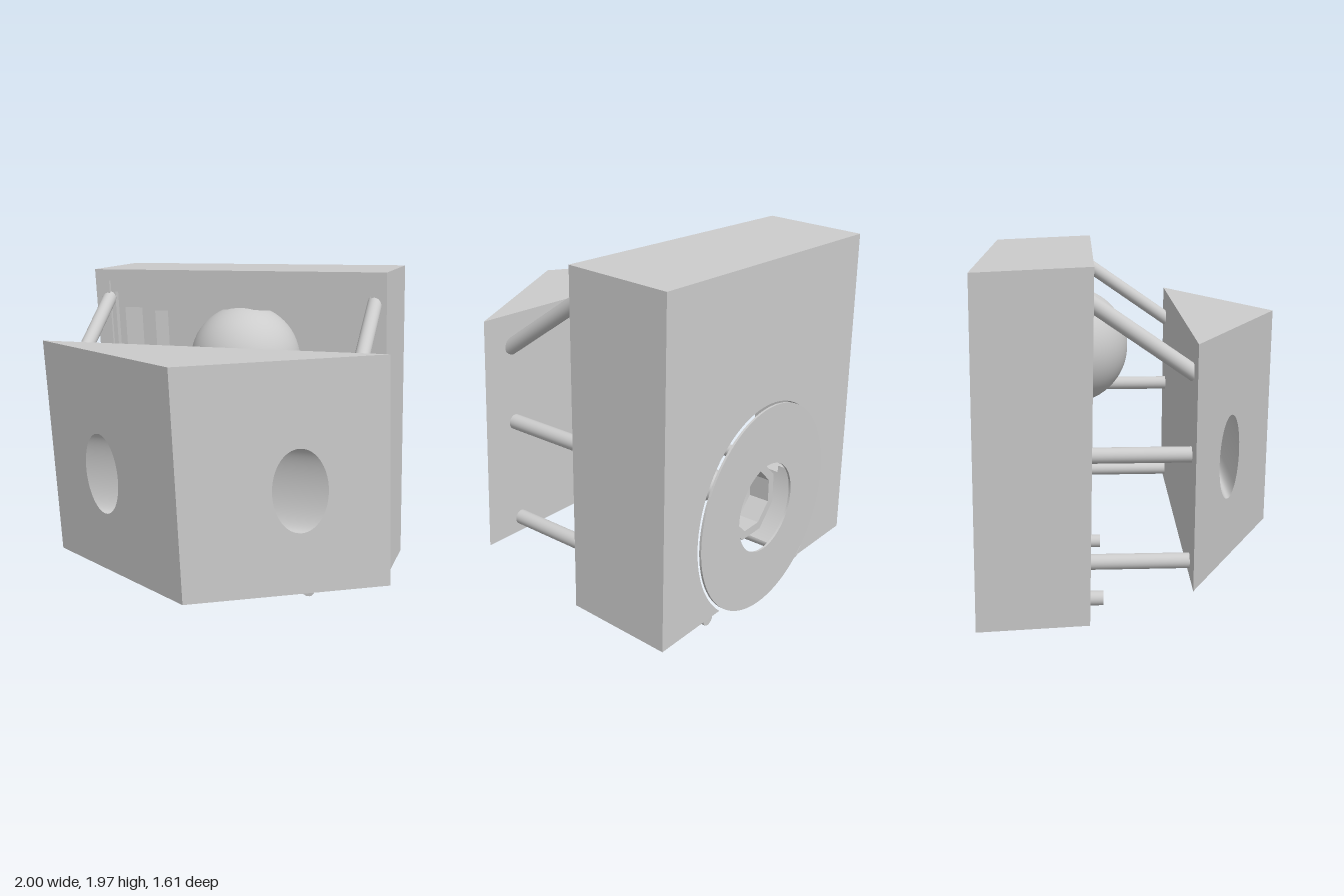
import * as THREE from 'three';

const grey = new THREE.MeshStandardMaterial({ color: 0xcccccc, side: THREE.DoubleSide });

// Slightly skewed frames: columns are the local axes, then the origin
const skew = (ex, ey, ez, o) => new THREE.Matrix4().makeBasis(
  new THREE.Vector3(...ex), new THREE.Vector3(...ey), new THREE.Vector3(...ez)).setPosition(...o);
const BOX = skew([1, 0.029, 0], [-0.033, 1, 0.019], [0, 0.043, 1], [-0.01, 1.05, -0.21]);
const WEDGE = skew([1, 0.028, 0], [-0.048, 1, 0], [0, 0, 1], [0, 0.99, 0]);

export function createModel() {
  const model = new THREE.Group();

  function add(name, geometry, matrix) {
    if (matrix) {
      geometry.applyMatrix4(matrix);
      geometry.computeVertexNormals();
    }
    const mesh = new THREE.Mesh(geometry, grey);
    mesh.name = name;
    model.add(mesh);
    return mesh;
  }

  function rod(name, a, b, r = 0.04) {
    const from = new THREE.Vector3(...a), to = new THREE.Vector3(...b);
    const dir = to.clone().sub(from);
    const mesh = add(name, new THREE.CylinderGeometry(r, r, dir.length(), 24));
    mesh.position.copy(from).add(to).multiplyScalar(0.5);
    mesh.quaternion.setFromUnitVectors(new THREE.Vector3(0, 1, 0), dir.normalize());
  }

  // Housing: stacked layers, each open in the middle and notched by a circle below
  const W = 0.86, H = 0.9, CY = -0.45, R = 0.59;
  const arcX = y => Math.sqrt(R * R - (y - CY) ** 2);
  const angle = (sx, y) => Math.atan2(y - CY, sx * arcX(y));
  function layer(name, z0, z1, opening) {
    const s = new THREE.Shape();
    s.moveTo(W, -H);
    s.lineTo(W, H);
    s.lineTo(-W, H);
    s.lineTo(-W, -H);
    s.lineTo(-arcX(-H), -H);
    if (opening) {
      const [hw, top, bottom] = opening;
      s.absarc(0, CY, R, angle(-1, -H), angle(-1, bottom), true);
      s.lineTo(-hw, bottom);
      s.lineTo(-hw, top);
      s.lineTo(hw, top);
      s.lineTo(hw, bottom);
      s.lineTo(arcX(bottom), bottom);
      s.absarc(0, CY, R, angle(1, bottom), angle(1, -H), true);
    } else {
      s.absarc(0, CY, R, angle(-1, -H), angle(1, -H), true);
    }
    const g = new THREE.ExtrudeGeometry(s, { depth: z0 - z1, bevelEnabled: false, curveSegments: 48 });
    add(name, g.translate(0, 0, z1), BOX);
  }
  layer('housingRim', 0, -0.02, [0.775, 0.835, -0.62]);
  layer('housingStep', -0.02, -0.06, [0.75, 0.77, -0.58]);
  layer('housingOpening', -0.06, -0.3, [0.71, 0.675, -0.54]);
  layer('housingInnerFrame', -0.3, -0.5, [0.625, 0.63, -0.5]);
  layer('housingBack', -0.5, -0.575, null);

  // Flat ring covering the notch at the back
  const ring = new THREE.Shape().absarc(0, 0, 0.58, 0, Math.PI * 2);
  ring.holes.push(new THREE.Path().absarc(0, 0, 0.25, 0, Math.PI * 2, true));
  add('backRing', new THREE.ExtrudeGeometry(ring, { depth: 0.012, bevelEnabled: false, curveSegments: 64 }))
    .position.set(0, 0.58, -0.805);

  // Eight-sided collar and small ball behind the ring
  const polygon = (target, r) => target.setFromPoints(Array.from({ length: 8 }, (_, i) => {
    const a = (i + 0.5) * Math.PI / 4;
    return new THREE.Vector2(r * Math.cos(a), r * Math.sin(a));
  }));
  const collar = polygon(new THREE.Shape(), 0.22);
  collar.holes.push(polygon(new THREE.Path(), 0.17));
  add('collar', new THREE.ExtrudeGeometry(collar, { depth: 0.12, bevelEnabled: false }))
    .position.set(0, 0.59, -0.72);
  add('smallBall', new THREE.SphereGeometry(0.1, 32, 20)).position.set(0, 0.6, -0.4);

  // Large ball in the housing
  add('ball', new THREE.SphereGeometry(0.32, 48, 32)).position.set(-0.01, 1.42, -0.32);

  // Wedge in front: two slanted faces with an oval tunnel running across
  const hw = 0.97, hh = 0.618, zBack = 0.28, zRidge = 0.805, slope = (zRidge - zBack) / hw;
  const hole = { y: -0.057, z: 0.504, ry: 0.225, rz: 0.07 };
  for (const side of [-1, 1]) {
    const x0 = Math.min(0, side * hw), x1 = Math.max(0, side * hw);
    const face = new THREE.Shape([[x0, -hh], [x1, -hh], [x1, hh], [x0, hh]].map(p => new THREE.Vector2(...p)));
    face.holes.push(new THREE.Path().absellipse(
      side * (zRidge - hole.z) / slope, hole.y, hole.rz / slope, hole.ry, 0, Math.PI * 2, true));
    const g = new THREE.ShapeGeometry(face, 32);
    const p = g.attributes.position;
    for (let i = 0; i < p.count; i++) p.setZ(i, zRidge - Math.abs(p.getX(i)) * slope);
    add(side < 0 ? 'wedgeRightFace' : 'wedgeLeftFace', g, WEDGE);
  }

  const tunnel = new THREE.CylinderGeometry(1, 1, 2, 64, 1, true);
  const tp = tunnel.attributes.position;
  for (let i = 0; i < tp.count; i++) {
    const z = hole.z + hole.rz * tp.getZ(i);
    tp.setXYZ(i, tp.getY(i) * (zRidge - z) / slope, hole.y + hole.ry * tp.getX(i), z);
  }
  add('wedgeTunnel', tunnel, WEDGE);

  const corner = (x, y) => [x * hw, y * hh, x ? zBack : zRidge];
  const shell = new THREE.BufferGeometry();
  shell.setAttribute('position', new THREE.Float32BufferAttribute([
    corner(1, -1), corner(-1, -1), corner(-1, 1), corner(1, -1), corner(-1, 1), corner(1, 1),
    corner(-1, 1), corner(0, 1), corner(1, 1),
    corner(1, -1), corner(0, -1), corner(-1, -1),
  ].flat(), 3));
  add('wedgeBackAndEnds', shell, WEDGE);

  // Struts joining wedge and housing, and the two feet
  for (const side of [-1, 1]) {
    const tag = side < 0 ? 'right' : 'left';
    const lift = side * 0.024;
    rod(tag + 'UpperStrut', [side * 0.79 - 0.02, 1.43 + lift, 0.29], [side * 0.79 - 0.033, 1.79 + lift, -0.23]);
    rod(tag + 'MiddleStrut', [side * 0.77, 1.02 + lift, 0.29], [side * 0.77, 1.02 + lift, -0.27]);
    rod(tag + 'LowerStrut', [side * 0.75 + 0.015, 0.45 + lift, 0.29], [side * 0.75 + 0.015, 0.45 + lift, -0.27]);
    rod(tag + 'Foot', [side * 0.437 + 0.007, 0.093, -0.15], [side * 0.437 + 0.007, 0.093, -0.76]);
  }

  return model;
}
